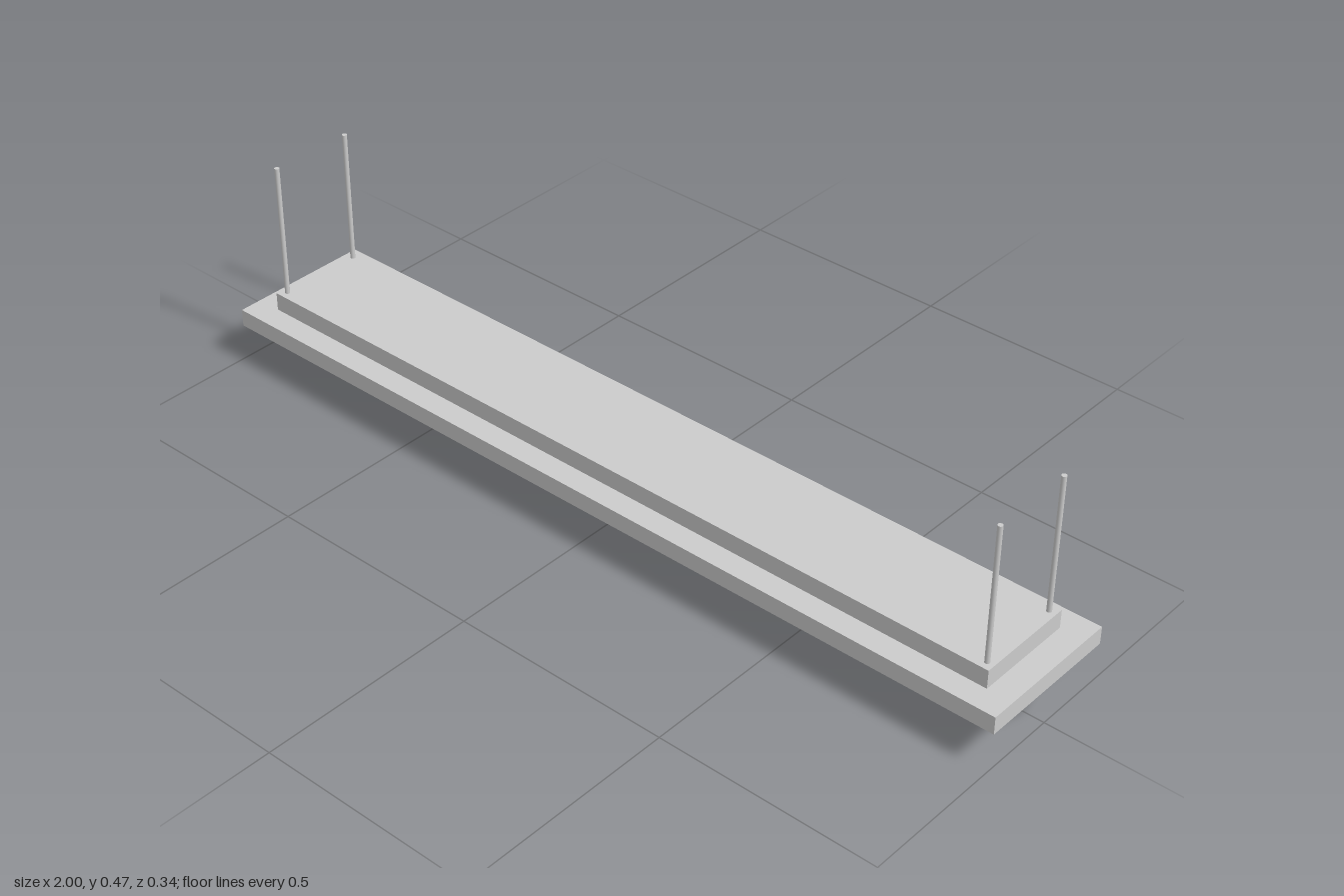
import * as THREE from 'three';

export function createModel() {
  const group = new THREE.Group();
  const material = new THREE.MeshStandardMaterial({ color: 0xcccccc, flatShading: true });
  const rodMaterial = new THREE.MeshStandardMaterial({ color: 0xcccccc });

  const add = (name, geometry, x, y, z, mat = material) => {
    const mesh = new THREE.Mesh(geometry, mat);
    mesh.name = name;
    mesh.position.set(x, y, z);
    group.add(mesh);
    return mesh;
  };
  const slab = (name, width, depth, bottom, top) =>
    add(name, new THREE.BoxGeometry(width, top - bottom, depth), 0, (bottom + top) / 2, 0);

  // Wide mounting plate with the narrower housing on top
  slab('mountingPlate', 2, 0.337, 0.083, 0.123);
  slab('upperHousing', 1.886, 0.23, 0.123, 0.165);

  // Faceted light diffuser, a profile extruded along x
  const profile = new THREE.Shape([
    [-0.115, 0.083], [-0.087, 0.03], [0, 0], [0.087, 0.03], [0.115, 0.083],
  ].map(([z, y]) => new THREE.Vector2(z, y)));
  const length = 1.9;
  const diffuser = new THREE.ExtrudeGeometry(profile, { depth: length, bevelEnabled: false });
  diffuser.translate(0, 0, -length / 2).rotateY(Math.PI / 2);
  add('diffuser', diffuser, 0, 0, 0);

  // Four suspension rods at the housing corners
  const rodBottom = 0.165, rodTop = 0.474;
  const rod = new THREE.CylinderGeometry(0.0055, 0.0055, rodTop - rodBottom, 16);
  for (const x of [-0.927, 0.927]) {
    for (const z of [-0.097, 0.097]) {
      const name = `${z > 0 ? 'front' : 'back'}${x > 0 ? 'Left' : 'Right'}Rod`;
      add(name, rod, x, (rodBottom + rodTop) / 2, z, rodMaterial);
    }
  }
  return group;
}
